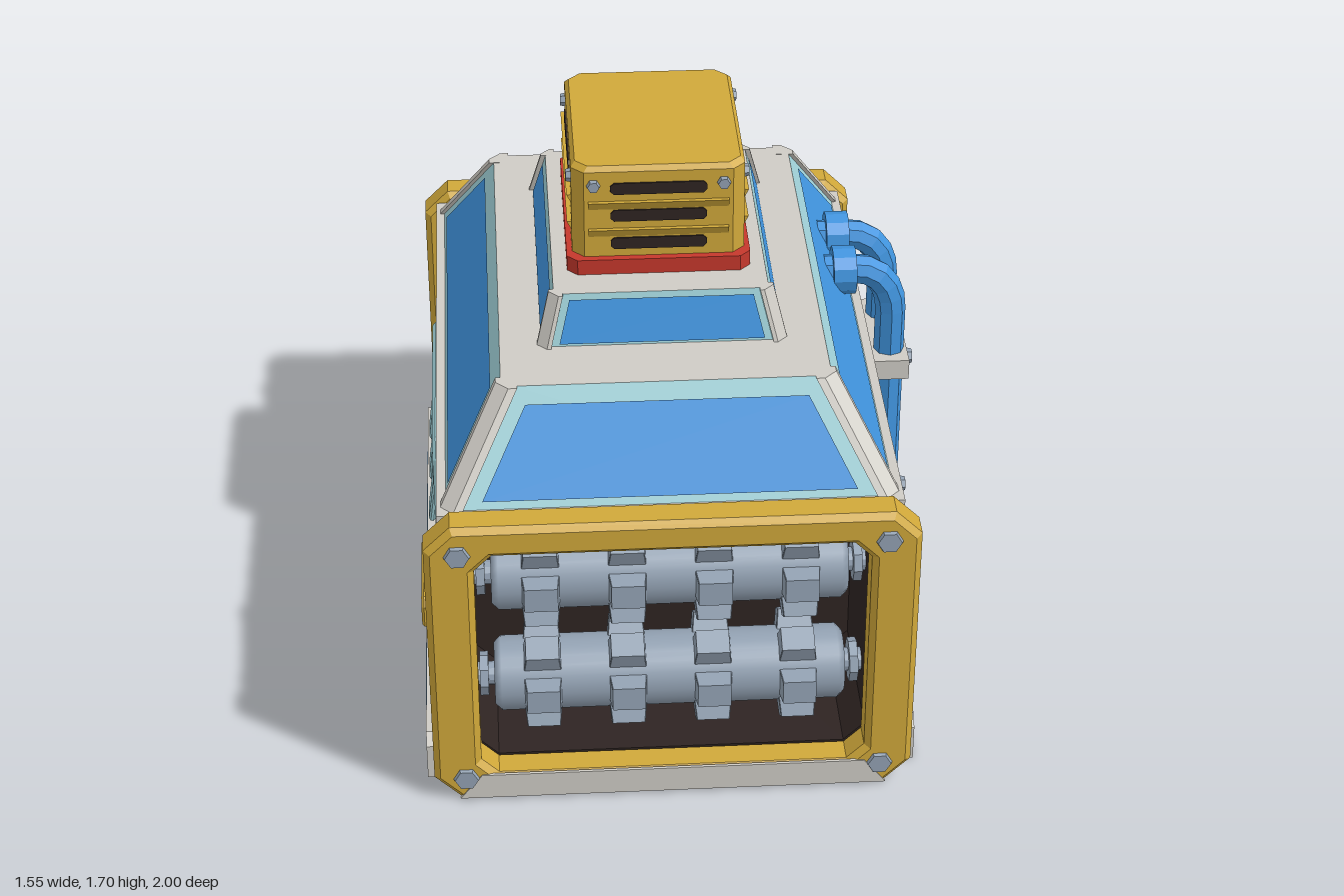
import * as THREE from 'three';

const paint = (name, color) => {
  const m = new THREE.MeshStandardMaterial({ color });
  m.name = name;
  return m;
};

export function createModel() {
  const yellow = paint('yellow', 0xd0a83a), blue = paint('blue', 0x4094de), teal = paint('pale teal', 0x9fd0d7);
  const white = paint('warm white', 0xcfccc5), red = paint('red', 0xc5382c);
  const dark = paint('dark interior', 0x2e2422), steel = paint('steel', 0x93a2b3);

  const model = new THREE.Group();
  model.name = 'coolingMachine';
  const body = new THREE.Group();
  body.name = 'machine';
  body.position.x = -0.04;
  model.add(body);

  // ---- helpers ----
  const add = (parent, name, geo, mat, x = 0, y = 0, z = 0, smooth = false) => {
    if (!smooth) {
      if (geo.index) geo = geo.toNonIndexed();
      geo.computeVertexNormals();
    }
    const mesh = new THREE.Mesh(geo, mat);
    mesh.name = name;
    mesh.position.set(x, y, z);
    parent.add(mesh);
    return mesh;
  };
  const box = (w, h, d) => new THREE.BoxGeometry(w, h, d);
  const group = (name, parent, turn = 0) => {
    const g = new THREE.Group();
    g.name = name;
    g.rotation.y = turn;
    parent.add(g);
    return g;
  };
  const poly = pts => new THREE.Shape(pts.map(p => new THREE.Vector2(...p)));
  // rectangle with cut corners, half width w, from y0 to y1
  const cutRect = (w, y0, y1, c, cb = c) => poly([
    [-w + cb, y0], [w - cb, y0], [w, y0 + cb], [w, y1 - c], [w - c, y1], [-w + c, y1], [-w, y1 - c], [-w, y0 + cb]]);
  const ring = (outer, inner, depth, bevel = 0) => {
    outer.holes.push(inner);
    return slab(outer, depth, bevel);
  };
  const slab = (shape, depth, bevel = 0) => {
    const g = new THREE.ExtrudeGeometry(shape, {
      depth: depth - 2 * bevel, bevelEnabled: bevel > 0, bevelSize: bevel, bevelThickness: bevel,
      bevelOffset: -bevel, bevelSegments: 1 });
    return g.translate(0, 0, bevel);
  };
  const hexagon = r => poly([0, 1, 2, 3, 4, 5].map(i => [r * Math.cos(i * Math.PI / 3), r * Math.sin(i * Math.PI / 3)]));
  const bolt = (parent, x, y, z, r, h = 0.02) => {
    const g = new THREE.CylinderGeometry(r * 0.85, r, h, 6).rotateY(Math.PI / 6).rotateX(Math.PI / 2);
    add(parent, 'bolt', g, steel, x, y, z + h / 2);
  };
  // solid between two [x, z] outlines at y0 and y1; the top cap is material group 1
  const loft = (b, t, y0, y1) => {
    const area = b.reduce((s, p, i) => { const q = b[(i + 1) % b.length]; return s + p[0] * q[1] - q[0] * p[1]; }, 0);
    if (area < 0) { b = [...b].reverse(); t = [...t].reverse(); }
    const B = b.map(p => [p[0], y0, p[1]]), T = t.map(p => [p[0], y1, p[1]]), n = b.length, v = [];
    for (let i = 0; i < n; i++) {
      const j = (i + 1) % n;
      v.push(B[i], T[i], T[j], B[i], T[j], B[j]);
    }
    for (let i = 1; i < n - 1; i++) v.push(B[0], B[i], B[i + 1]);
    const side = v.length;
    for (let i = 1; i < n - 1; i++) v.push(T[0], T[i + 1], T[i]);
    const g = new THREE.BufferGeometry();
    g.setAttribute('position', new THREE.Float32BufferAttribute(v.flat(), 3));
    g.addGroup(0, side, 0);
    g.addGroup(side, v.length - side, 1);
    return g;
  };
  const oct = (X, Z, c) => [[X, c - Z], [X, Z - c], [X - c, Z], [c - X, Z], [-X, Z - c], [-X, c - Z], [c - X, -Z], [X - c, -Z]];

  // ---- hollow body, dark lining, eave ----
  add(body, 'bodyShell', ring(cutRect(0.64, 0.015, 0.9, 0.01), cutRect(0.6, 0.05, 0.88, 0.03), 1.77), teal, 0, 0, -0.885);
  add(body, 'innerLining', ring(cutRect(0.61, 0.04, 0.89, 0.03), cutRect(0.565, 0.09, 0.865, 0.06), 1.78), dark, 0, 0, -0.89);
  add(body, 'divider', box(1.18, 0.8, 0.9), dark, 0, 0.47, 0);
  add(body, 'eave', box(1.31, 0.065, 1.75), white, 0, 0.902, 0);

  // ---- end frames with toothed rollers ----
  for (const s of [0, 1]) {
    const end = group(s ? 'backEnd' : 'frontEnd', body, s * Math.PI);
    add(end, 'endFrame', ring(cutRect(0.693, 0.005, 0.965, 0.075), cutRect(0.555, 0.09, 0.865, 0.05), 0.11, 0.018), yellow, 0, 0, 0.88);
    if (!s) add(end, 'frameSill', slab(poly([[-0.62, 0.012], [0.62, 0.012], [0.555, 0.095], [-0.555, 0.095]]), 0.009), white, 0, 0, 0.985);
    for (const x of [-0.6, 0.6]) for (const y of [0.083, 0.877]) bolt(end, x, y, 0.985, 0.04, 0.015);
    for (const y of [0.278, 0.645]) {
      const roller = group('roller', end);
      roller.position.set(0, y, 0.75);
      const profile = [[0, -0.51], [0.09, -0.51], [0.11, -0.49], [0.11, 0.49], [0.09, 0.51], [0, 0.51]];
      const drum = new THREE.LatheGeometry(profile.map(p => new THREE.Vector2(...p)), 24).rotateZ(Math.PI / 2);
      add(roller, 'drum', drum, steel, 0, 0, 0, true);
      add(roller, 'axle', new THREE.CylinderGeometry(0.035, 0.035, 1.14, 12).rotateZ(Math.PI / 2), steel);
      for (const x of [-0.54, 0.54]) add(roller, 'axleCollar', new THREE.CylinderGeometry(0.065, 0.065, 0.025, 8).rotateZ(Math.PI / 2), steel, x);
      for (let i = 0; i < 4; i++) for (let k = 0; k < 6; k++) {
        const tooth = loft(oct(0.055, 0.045, 0.002), oct(0.048, 0.037, 0.002), 0.09, 0.158).rotateX(Math.PI / 2 + k * Math.PI / 3 - 0.05);
        add(roller, 'tooth', tooth, [steel, steel], -0.37 + i * 0.247);
      }
    }
  }

  // ---- two sloped roof tiers: core, corner ribs, blue panels ----
  const tiers = [
    { name: 'lowerRoof', y: [0.93, 1.22], X: [0.645, 0.478], Z: [0.868, 0.678], w: 0.06, c: 0.035, py: [0.955, 1.178], inset: 0.105 },
    { name: 'upperRoof', y: [1.22, 1.365], X: [0.357, 0.32], Z: [0.48, 0.432], w: 0.04, c: 0.028, py: [1.228, 1.35], inset: 0.062 }];
  for (const t of tiers) {
    const roof = group(t.name, body), r = 0.014;
    add(roof, 'roofCore', loft(oct(t.X[0] - r, t.Z[0] - r, t.c), oct(t.X[1] - r, t.Z[1] - r, t.c), ...t.y), [teal, white]);
    for (const sx of [-1, 1]) for (const sz of [-1, 1]) {
      const outline = (X, Z) => [[X, Z - t.w], [X, Z - t.c], [X - t.c, Z], [X - t.w, Z], [X - t.w, Z - t.w]].map(p => [p[0] * sx, p[1] * sz]);
      add(roof, 'cornerRib', loft(outline(t.X[0], t.Z[0]), outline(t.X[1], t.Z[1]), t.y[0], t.y[1] + 0.001), [white, white]);
    }
    for (let k = 0; k < 4; k++) {
      const [D, W] = k % 2 ? [t.X, t.Z] : [t.Z, t.X];
      const at = (a, y) => a[0] + (a[1] - a[0]) * (y - t.y[0]) / (t.y[1] - t.y[0]);
      const [lo, hi] = t.py.map(y => [at(W, y) - t.inset, y, at(D, y) - r + 0.005]);
      const neg = p => [-p[0], p[1], p[2]];
      const g = new THREE.BufferGeometry();
      g.setAttribute('position', new THREE.Float32BufferAttribute([neg(lo), lo, hi, neg(lo), hi, neg(hi)].flat(), 3));
      add(group('roofSide', roof, k * Math.PI / 2), 'bluePanel', g, blue);
    }
  }

  // ---- vent tower ----
  add(body, 'redCollar', loft(oct(0.263, 0.317, 0.03), oct(0.263, 0.317, 0.03), 1.362, 1.412), [red, red]);
  add(body, 'ventTower', loft(oct(0.247, 0.295, 0.035), oct(0.247, 0.295, 0.035), 1.41, 1.685), [yellow, yellow]);
  add(body, 'ventCap', loft(oct(0.247, 0.295, 0.035), oct(0.235, 0.283, 0.035), 1.685, 1.7), [yellow, yellow]);
  for (let k = 0; k < 4; k++) {
    const odd = k % 2, d = odd ? 0.247 : 0.295, side = group('ventSide', body, k * Math.PI / 2);
    for (const y of [1.455, 1.545, 1.632]) add(side, 'ventSlot', slab(cutRect(odd ? 0.165 : 0.137, -0.018, 0.018, 0.01), 0.008), dark, 0, y, d - 0.003);
    for (const y of [1.495, 1.583]) {
      const w = odd ? 0.25 : 0.2;
      add(side, 'louver', loft([[-w, -0.01], [w, -0.01], [w, 0], [-w, 0]], [[-w, -0.01], [w, -0.01], [w, 0.013], [-w, 0.013]], y - 0.018, y + 0.008), [yellow, yellow], 0, 0, d);
    }
    for (const s of [-1, 1]) bolt(side, s * (odd ? 0.228 : 0.185), 1.643, d, 0.02, 0.014);
  }

  // ---- both flanks: skirt, base plate, bolts (x runs toward the rear on the left flank) ----
  const flanks = [1, -1].map(s => {
    const f = group(s > 0 ? 'leftFlank' : 'rightFlank', body, s * Math.PI / 2);
    add(f, 'skirt', slab(poly([[-0.885, 0.005], [0.885, 0.005], [0.885, 0.12], [0.855, 0.152], [-0.855, 0.152], [-0.885, 0.12]]), 0.095), white, 0, 0, 0.62);
    for (const m of [-1, 1]) add(f, 'skirtPanel', slab(poly([[-0.235, 0.04], [0.235, 0.04], [0.205, 0.115], [-0.205, 0.115]]), 0.006), blue, m * 0.44, 0, 0.712);
    add(f, 'basePlate', slab(cutRect(0.175, 0.01, 0.112, 0.025, 0.005), 0.07, 0.008), yellow, 0, 0, 0.665);
    for (const x of [-0.785, 0.785]) for (const y of [0.2, 0.84]) bolt(f, x, y, 0.638, 0.032, 0.018);
    return f;
  });
  const [left, right] = flanks;

  // ---- hexagonal badge with ice crystal ----
  const badge = group('badge', left);
  badge.position.set(-0.44, 0.54, 0.635);
  add(badge, 'badgeRim', ring(hexagon(0.225), hexagon(0.183), 0.05, 0.008), yellow);
  add(badge, 'badgeFace', slab(hexagon(0.19), 0.035), white);
  for (let k = 0; k < 6; k++) {
    const arm = group('crystalArm', badge);
    arm.rotation.z = k * Math.PI / 3;
    add(arm, 'spoke', box(0.022, 0.148, 0.008), blue, 0, 0.074, 0.038);
    for (const s of [-1, 1]) add(arm, 'twig', box(0.02, 0.06, 0.008), blue, s * 0.024, 0.099, 0.038).rotation.z = -s * Math.PI / 3;
  }

  // ---- twin pipes, flanges and clamps ----
  for (const x of [0.15, 0.36]) {
    const v = (y, z) => new THREE.Vector3(x, y, z), path = new THREE.CurvePath();
    path.add(new THREE.LineCurve3(v(0.115, 0.74), v(0.93, 0.74)));
    path.add(new THREE.CubicBezierCurve3(v(0.93, 0.74), v(1.02, 0.74), v(1.075, 0.69), v(1.075, 0.63)));
    path.add(new THREE.LineCurve3(v(1.075, 0.63), v(1.075, 0.53)));
    add(left, 'pipe', new THREE.TubeGeometry(path, 26, 0.047, 8), blue);
    add(left, 'pipeEnd', new THREE.CylinderGeometry(0.046, 0.046, 0.02, 8), blue, x, 0.125, 0.74);
    add(left, 'pipeFlange', new THREE.CylinderGeometry(0.074, 0.074, 0.07, 12).rotateX(Math.PI / 2), blue, x, 1.072, 0.59);
    for (const y of [0.267, 0.752]) bolt(left, x, y, 0.793, 0.026, 0.02);
  }
  for (const y of [0.267, 0.752]) add(left, 'pipeClamp', box(0.37, 0.067, 0.165), white, 0.255, y, 0.713);

  // ---- service panel with three slanted louvers ----
  add(right, 'servicePanel', slab(cutRect(0.37, 0.29, 0.825, 0.05), 0.04, 0.01), teal, 0, 0, 0.632);
  for (const x of [-0.22, 0, 0.22]) {
    const g = slab(poly([[-0.065, -0.085], [0.035, -0.085], [0.065, 0.085], [-0.035, 0.085]]), 0.02, 0.006);
    add(right, 'slantedLouver', g, teal, x, 0.56, 0.665).rotation.x = -0.12;
  }
  return model;
}
